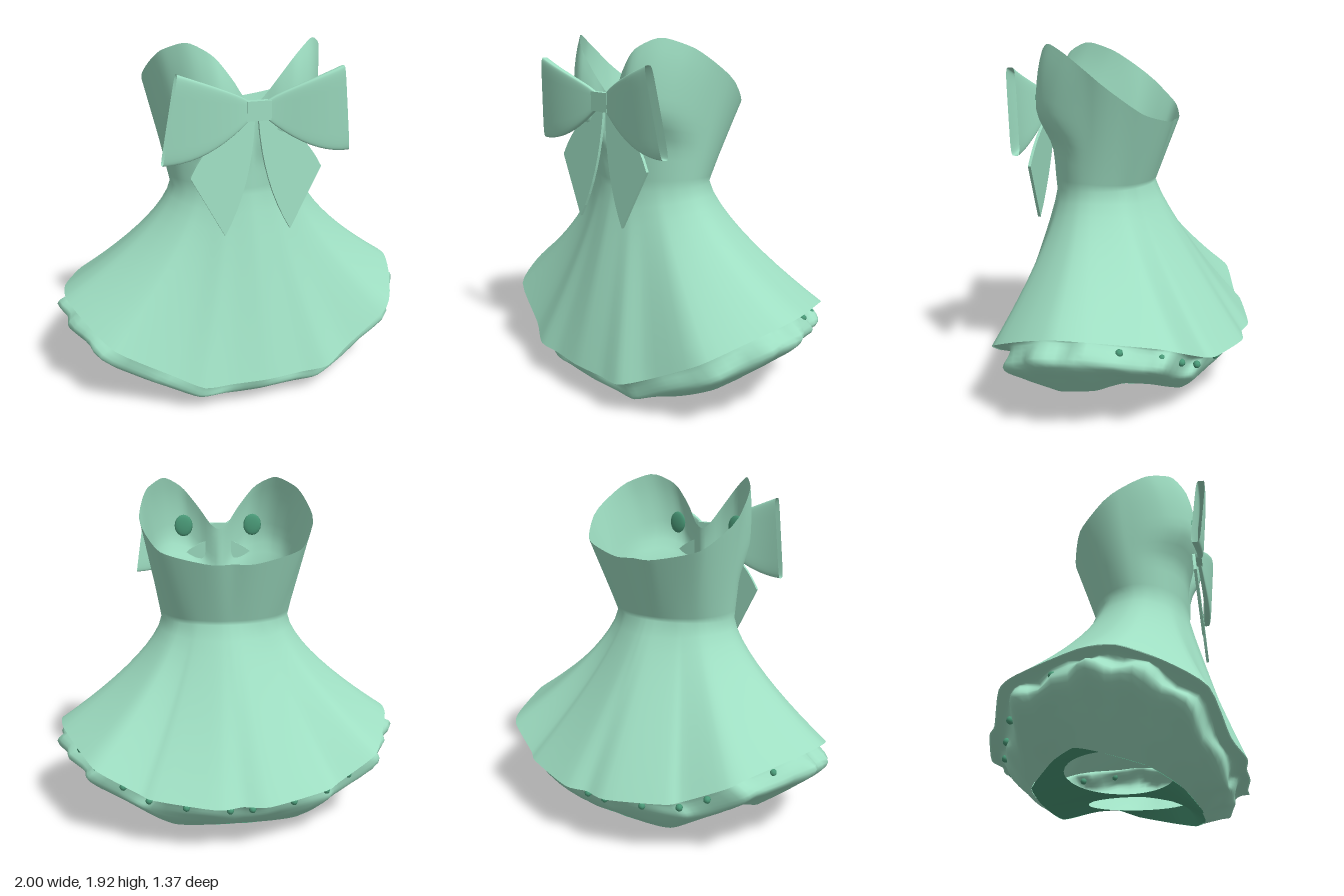
import * as THREE from 'three';

const mint = new THREE.MeshStandardMaterial({ color: 0x9edec2, side: THREE.DoubleSide });
const deepGreen = new THREE.MeshStandardMaterial({ color: 0x4a9a78, side: THREE.DoubleSide });
mint.name = 'mint fabric';
deepGreen.name = 'deep green lining';

const V = (x, y, z) => new THREE.Vector3(x, y, z);

// Closed ring from a right-hand half (front to back), mirrored in x
function ring(half, perPoint) {
  const pts = half.map(p => V(...p));
  const mirrored = pts.slice(1, -1).reverse().map(p => V(-p.x, p.y, p.z));
  const all = pts.concat(mirrored);
  const curve = new THREE.CatmullRomCurve3(all, true, 'catmullrom', 0.35);
  const n = all.length * perPoint;
  return Array.from({ length: n }, (_, i) => curve.getPoint(i / n));
}

// Skin over a stack of closed rings, listed from bottom to top
function loft(rows) {
  const n = rows[0].length, pos = [], idx = [];
  rows.forEach(r => r.forEach(p => pos.push(p.x, p.y, p.z)));
  for (let j = 0; j < rows.length - 1; j++) for (let i = 0; i < n; i++) {
    const a = j * n + i, b = j * n + (i + 1) % n;
    idx.push(a, b, a + n, b, b + n, a + n);
  }
  const g = new THREE.BufferGeometry();
  g.setAttribute('position', new THREE.Float32BufferAttribute(pos, 3));
  g.setIndex(idx);
  g.computeVertexNormals();
  return g;
}

// Unit direction of a point around an ellipse with the given radii and centre
const direction = (p, rx, rz, cz = 0) => new THREE.Vector2(p.x / rx, (p.z - cz) / rz).normalize();
// Ring point lying closest to a direction
const pointAt = (points, d, rx, rz, cz) => points.reduce((best, q) => {
  const dot = direction(q, rx, rz, cz).dot(d);
  return dot > best.dot ? { dot, q } : best;
}, { dot: -2 }).q;

const HEM = [
  [0, 0.18, 0.68], [0.2, 0.18, 0.665], [0.35, 0.19, 0.67], [0.5, 0.25, 0.6], [0.78, 0.40, 0.52],
  [0.9, 0.49, 0.33], [0.97, 0.55, 0.13], [0.95, 0.55, -0.05], [0.82, 0.5, -0.37], [0.75, 0.46, -0.47],
  [0.54, 0.36, -0.55], [0.46, 0.34, -0.6], [0.14, 0.31, -0.69], [0, 0.31, -0.67],
];
// Top edge of the bodice
const RIM = [
  [0, 1.61, 0.40], [0.05, 1.64, 0.405], [0.12, 1.74, 0.43], [0.22, 1.86, 0.43], [0.33, 1.92, 0.35],
  [0.43, 1.87, 0.22], [0.47, 1.79, 0.1], [0.48, 1.7, -0.02], [0.38, 1.57, -0.18], [0.13, 1.51, -0.26],
  [0, 1.51, -0.26],
];
// Bottom edge of the petticoat
const UNDER = [
  [0, 0.015, 0.42], [0.13, 0, 0.43], [0.42, 0.04, 0.36], [0.6, 0.1, 0.22], [0.66, 0.16, 0],
  [0.62, 0.2, -0.13], [0.53, 0.17, -0.25], [0.35, 0.09, -0.4], [0, 0.08, -0.42],
];
const hem = ring(HEM, 4);
const hemDirections = hem.map(p => direction(p, 0.97, 0.69));

// Skirt and bodice in one skin, from hem through waist to neckline
function makeDress() {
  const rimPoints = ring(RIM, 30);
  const rim = hemDirections.map(d => pointAt(rimPoints, d, 0.48, 0.34, 0.08));
  const waist = hemDirections.map(d => V(0.37 * d.x, 1.15 - 0.02 * Math.max(0, d.y), 0.13 + 0.27 * d.y));
  const rows = [];
  for (let j = 0; j < 10; j++) {
    const h = 1 - j / 10; // 1 at the hem, 0 at the waist
    rows.push(hem.map((p, i) => {
      const w = waist[i], r = Math.pow(h, 1.05 + 0.45 * Math.abs(hemDirections[i].x));
      return V(w.x + (p.x - w.x) * r, w.y + (p.y - w.y) * h, w.z + (p.z - w.z) * r);
    }));
  }
  for (let j = 0; j <= 14; j++) {
    const v = j / 14; // 0 at the waist, 1 at the neckline
    rows.push(rim.map((p, i) => {
      const d = hemDirections[i], q = waist[i].clone().lerp(p, v);
      // Two rounded cups at the front
      const cup = d.y > 0 ? 2 * Math.abs(d.x) * d.y : 0;
      q.z += 0.1 * cup * THREE.MathUtils.smoothstep(v, 0.28, 0.58) * (1 - v ** 4);
      return q;
    }));
  }
  return loft(rows);
}

// Gathered ruffle from the lower opening out to the hem
function makePetticoat() {
  const underPoints = ring(UNDER, 30);
  const columns = hem.map((p, i) => {
    const d = hemDirections[i], a = Math.atan2(d.x, d.y);
    const bottom = pointAt(underPoints, d, 0.66, 0.43, 0);
    const bulge = V(p.x * 1.03, p.y - 0.1, p.z * (p.z > 0 ? 0.87 : 0.83));
    const low = bottom.clone().lerp(bulge, 0.5).multiply(V(1.03, 1, 1.03));
    const crease = V(p.x * 0.93, p.y - 0.02, p.z * 0.9);
    const edge = V(p.x * 0.99, p.y, p.z * 0.99);
    const curve = new THREE.CatmullRomCurve3([bottom, low, bulge, crease, edge]);
    return curve.getPoints(20).map((c, j) => {
      const t = j / 20;
      // Gathered folds
      const fold = Math.cos(11 * a + 5 * t) * Math.cos(4 * t) + 0.9 * Math.cos(18 * a - 6 * t) - 0.4;
      const k = 0.022 * Math.sin(Math.PI * t) * fold;
      return V(c.x * (1 + k), Math.max(c.y + k * 0.5, 0), c.z * (1 + k));
    });
  });
  return loft(columns[0].map((_, j) => columns.map(c => c[j])));
}

// One half of the lining under the skirt, with a leg opening
function makeLining(side) {
  const outer = UNDER.concat([[0, 0.11, -0.2], [0, 0.12, 0], [0, 0.12, 0.1], [0, 0.08, 0.28]]).map(p => V(...p));
  const edge = new THREE.CatmullRomCurve3(outer, true, 'catmullrom', 0.2).getPoints(52).slice(0, 52);
  const hole = edge.map(p => {
    const a = Math.atan2((p.z - 0.04) / 0.4, (p.x - 0.31) / 0.32);
    const x = 0.31 + 0.28 * Math.cos(a);
    return V(x, 0.12 + 0.11 * x, 0.04 + 0.28 * Math.sin(a));
  });
  const rows = [edge, hole].map(r => r.map(p => V(p.x * side, p.y, p.z)));
  return loft(side > 0 ? rows : rows.reverse());
}

// Bow loop: a flat squared sleeve, open at its outer end
function makeBowLoop(side) {
  const rows = [], n = 32;
  const square = c => Math.sign(c) * Math.pow(Math.abs(c), 0.35);
  for (let j = 0; j <= 10; j++) {
    const u = j / 10, row = [];
    const top = V(0.05 + 0.38 * u, 1.64 + 0.16 * Math.pow(u, 0.85), 0);
    const low = V(0.05 + 0.45 * u, 1.54 - 0.19 * (1 - (1 - u) ** 2), 0);
    for (let i = 0; i < n; i++) {
      const a = i / n * Math.PI * 2, h = (square(Math.sin(a)) + 1) / 2;
      const p = low.clone().lerp(top, h);
      p.z = 0.47 + 0.035 * Math.sin(u * 2.2) + 0.045 * u * (h - 0.5) + (0.012 + 0.014 * u) * square(Math.cos(a));
      p.x *= side;
      row.push(p);
    }
    rows.push(row);
  }
  return loft(side > 0 ? rows.reverse() : rows);
}

// Bow tail: a thin leaf hanging from the knot
function makeBowTail(side) {
  const s = new THREE.Shape();
  s.moveTo(0.005 * side, 1.56);
  s.quadraticCurveTo(0.24 * side, 1.5, 0.355 * side, 1.27);
  s.lineTo(0.18 * side, 0.95);
  s.quadraticCurveTo(0.03 * side, 1.2, 0.01 * side, 1.54);
  const g = new THREE.ExtrudeGeometry(s, { depth: 0.016, bevelEnabled: false, curveSegments: 8 });
  const p = g.attributes.position;
  for (let i = 0; i < p.count; i++) p.setZ(i, p.getZ(i) + 0.435 + 0.04 * (1.56 - p.getY(i)) / 0.6);
  g.computeVertexNormals();
  return g;
}

export function createModel() {
  const model = new THREE.Group();
  model.name = 'dress';
  const add = (geometry, material, name) => {
    const m = new THREE.Mesh(geometry, material);
    m.name = name;
    model.add(m);
    return m;
  };
  add(makeDress(), mint, 'skirtAndBodice');
  add(makePetticoat(), mint, 'petticoat');
  for (const [side, label] of [[1, 'left'], [-1, 'right']]) {
    add(makeLining(side), deepGreen, label + 'Lining');
    add(makeBowLoop(side), mint, label + 'BowLoop');
    add(makeBowTail(side), mint, label + 'BowTail');
    // Small pad inside the cup
    const pad = add(new THREE.SphereGeometry(1, 12, 8), deepGreen, label + 'CupPad');
    pad.scale.set(0.055, 0.065, 0.015);
    pad.position.set(0.21 * side, 1.63, 0.447);
  }
  // Lining peeping through the crease under the back of the hem
  hem.filter((p, i) => p.z < -0.2 && i % 4 === 2).forEach(p => {
    const fleck = add(new THREE.SphereGeometry(0.02, 8, 6), deepGreen, 'liningFleck');
    fleck.position.set(p.x * 0.96, p.y - 0.055, p.z * 0.87);
  });
  // Flat bow knot
  const knot = add(new THREE.BoxGeometry(0.13, 0.1, 0.035), mint, 'bowKnot');
  knot.position.set(0, 1.59, 0.47);
  return model;
}
